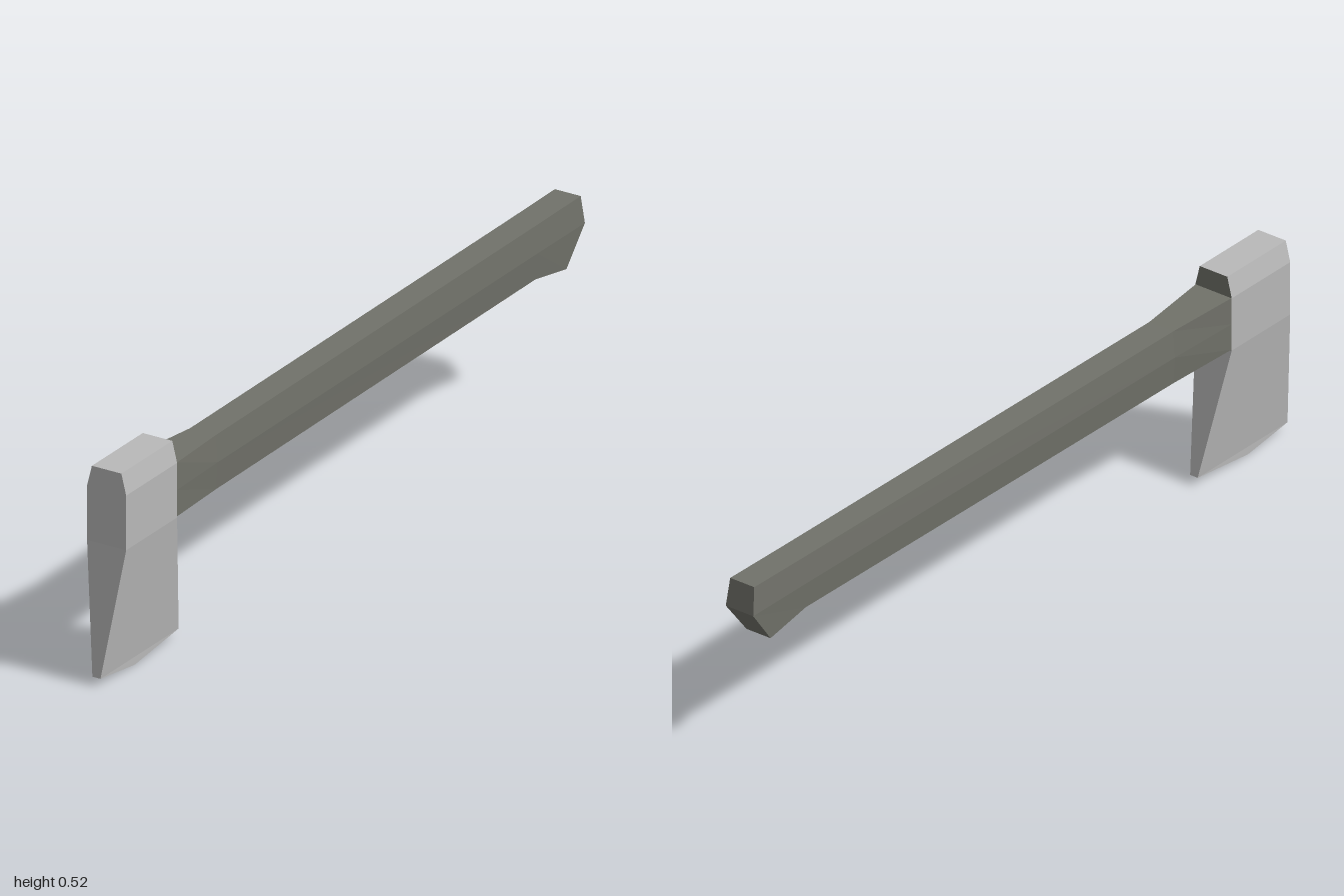
import * as THREE from 'three';

const steel = new THREE.MeshStandardMaterial({ color: 0xb9b9b9, flatShading: true });
steel.name = 'steel';
const grip = new THREE.MeshStandardMaterial({ color: 0x71726a, flatShading: true });
grip.name = 'grip';

// Flat-shaded mesh from convex polygons, corners counter-clockwise from outside
function facetMesh(name, material, polygons) {
  const points = [];
  for (const p of polygons)
    for (let i = 1; i < p.length - 1; i++) points.push(...p[0], ...p[i], ...p[i + 1]);
  const geometry = new THREE.BufferGeometry();
  geometry.setAttribute('position', new THREE.Float32BufferAttribute(points, 3));
  geometry.computeVertexNormals();
  const mesh = new THREE.Mesh(geometry, material);
  mesh.name = name;
  return mesh;
}

// Joins matching loops; pick(row, side) chooses the list each quad goes to
function loft(loops, pick) {
  for (let r = 0; r < loops.length - 1; r++) {
    const a = loops[r], b = loops[r + 1];
    a.forEach((_, i) => {
      const j = (i + 1) % a.length;
      pick(r, i).push([a[i], a[j], b[j], b[i]]);
    });
  }
}

function createHead() {
  const head = new THREE.Group();
  head.name = 'head';
  // height, half width, front z, back z
  const rows = [
    [0.02, 0.011, 1.0, 0.67],
    [0.336, 0.053, 0.957, 0.742],
    [0.473, 0.053, 0.957, 0.742],
    [0.525, 0.04, 0.957, 0.742],
  ].map(([y, w, f, b]) => [[w, y, f], [w, y, b], [-w, y, b], [-w, y, f]]);
  const body = [], eye = [];
  loft(rows, (r, side) => (side === 1 && r > 0 ? eye : body));
  body.push(rows[3]);

  // Shallow pointed cutting edge
  const [rf, rb, lb, lf] = rows[0];
  const rm = [0.011, 0, 0.855], lm = [-0.011, 0, 0.855];
  body.push([rf, rm, rb], [lf, lb, lm], [rf, lf, lm, rm], [rm, lm, lb, rb]);

  head.add(facetMesh('blade', steel, body), facetMesh('eyeBack', grip, eye));
  return head;
}

function createHandle() {
  const handle = new THREE.Group();
  handle.name = 'handle';
  // half width, height and z for the top, middle and bottom of each section
  const sections = [
    [[0.052, 0.473, 0.742], [0.053, 0.405, 0.742], [0.052, 0.338, 0.742]],
    [[0.035, 0.465, 0.55], [0.04, 0.398, 0.55], [0.035, 0.329, 0.55]],
    [[0.035, 0.473, -0.8], [0.04, 0.405, -0.8], [0.035, 0.339, -0.8]],
    [[0.035, 0.475, -0.99], [0.04, 0.405, -1.0], [0.035, 0.315, -0.93]],
  ].map((s) => [...s, ...s.map(([x, y, z]) => [-x, y, z]).reverse()]);
  const shaft = [], under = [];
  loft(sections, (r, side) => (side === 2 && r < 2 ? under : shaft));

  // Two-facet butt end
  const e = sections[3];
  shaft.push([e[0], e[1], e[4], e[5]], [e[1], e[2], e[3], e[4]]);

  handle.add(facetMesh('shaft', grip, shaft), facetMesh('shaftUnderside', steel, under));
  return handle;
}

export function createModel() {
  const model = new THREE.Group();
  model.name = 'axe';
  model.add(createHead(), createHandle());
  return model;
}
